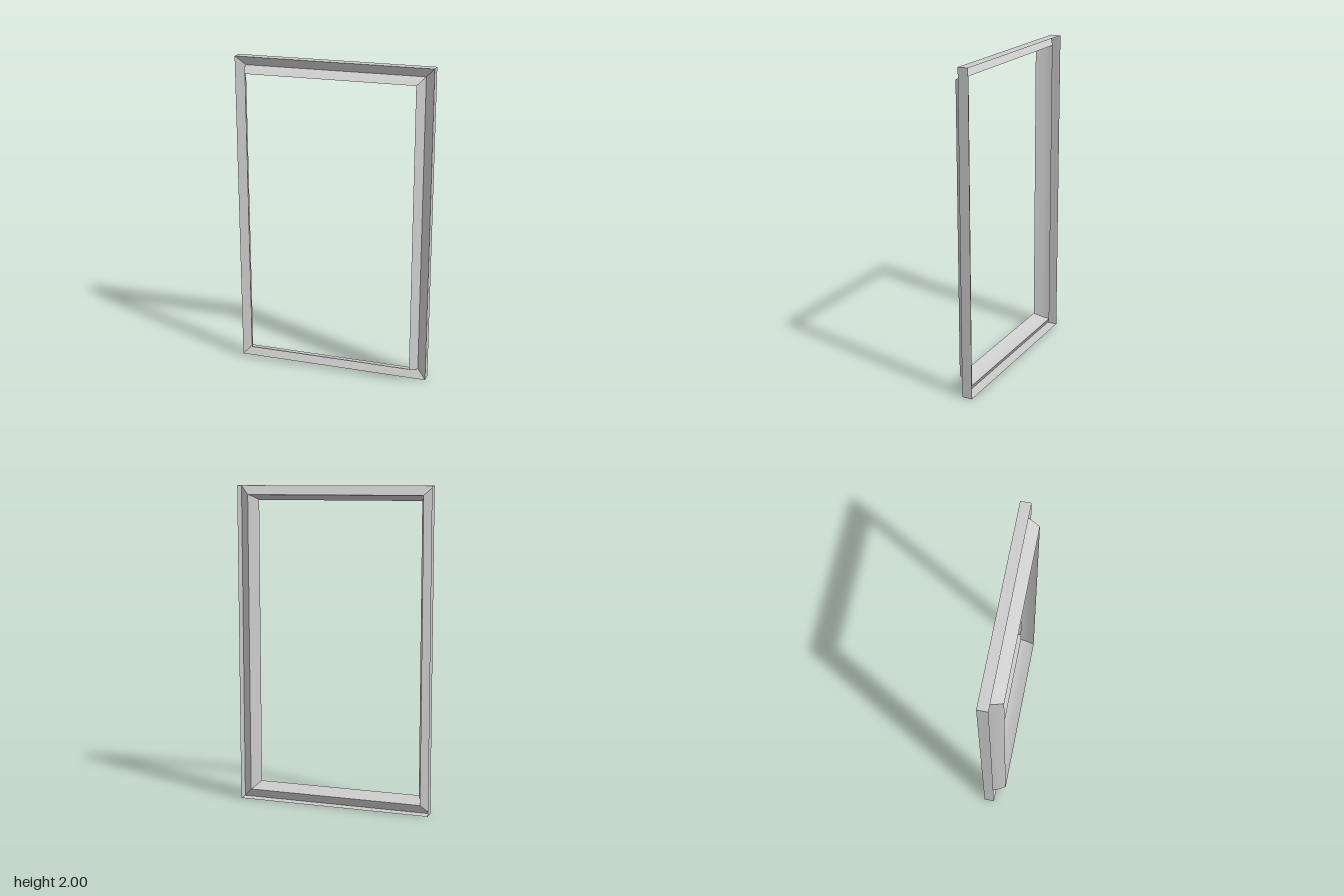
import * as THREE from 'three';

const HALF_W = 0.62, HALF_H = 1;
const material = new THREE.MeshStandardMaterial({ color: 0xcccccc, side: THREE.DoubleSide });

// Corner k of the rectangle inset from the outer edge, at depth z
function corner(k, [inset, z]) {
  const sx = [-1, 1, 1, -1][k], sy = [-1, -1, 1, 1][k];
  return [sx * (HALF_W - inset), HALF_H + sy * (HALF_H - inset), z];
}

// Sweep a profile of [inset, z] points round the frame with mitred corners;
// each side keeps its own vertices, so mitres stay sharp and the profile smooth
function mitredStrip(name, profile) {
  const positions = [], index = [];
  for (let side = 0; side < 4; side++) {
    const base = positions.length / 3;
    profile.forEach((p, i) => {
      positions.push(...corner(side, p), ...corner((side + 1) % 4, p));
      if (i === profile.length - 1) return;
      const a = base + 2 * i;
      index.push(a, a + 1, a + 3, a, a + 3, a + 2);
    });
  }
  const geometry = new THREE.BufferGeometry();
  geometry.setAttribute('position', new THREE.Float32BufferAttribute(positions, 3));
  geometry.setIndex(index);
  geometry.computeVertexNormals();
  const mesh = new THREE.Mesh(geometry, material);
  mesh.name = name;
  return mesh;
}

export function createModel() {
  const group = new THREE.Group();
  group.name = 'frame';

  // Thin outer wall, open at the back
  group.add(mitredStrip('outerWall', [[0, -0.065], [0, 0]]));

  // Front face sloping back towards the opening
  group.add(mitredStrip('frontFace', [[0, 0], [0.057, -0.036]]));

  // Raised inner lip, curving forward and inward
  const lip = new THREE.SplineCurve([
    new THREE.Vector2(0.057, -0.036), new THREE.Vector2(0.064, 0),
    new THREE.Vector2(0.081, 0.045), new THREE.Vector2(0.091, 0.065),
  ]);
  group.add(mitredStrip('innerLip', lip.getPoints(9).map((p) => [p.x, p.y])));

  return group;
}
